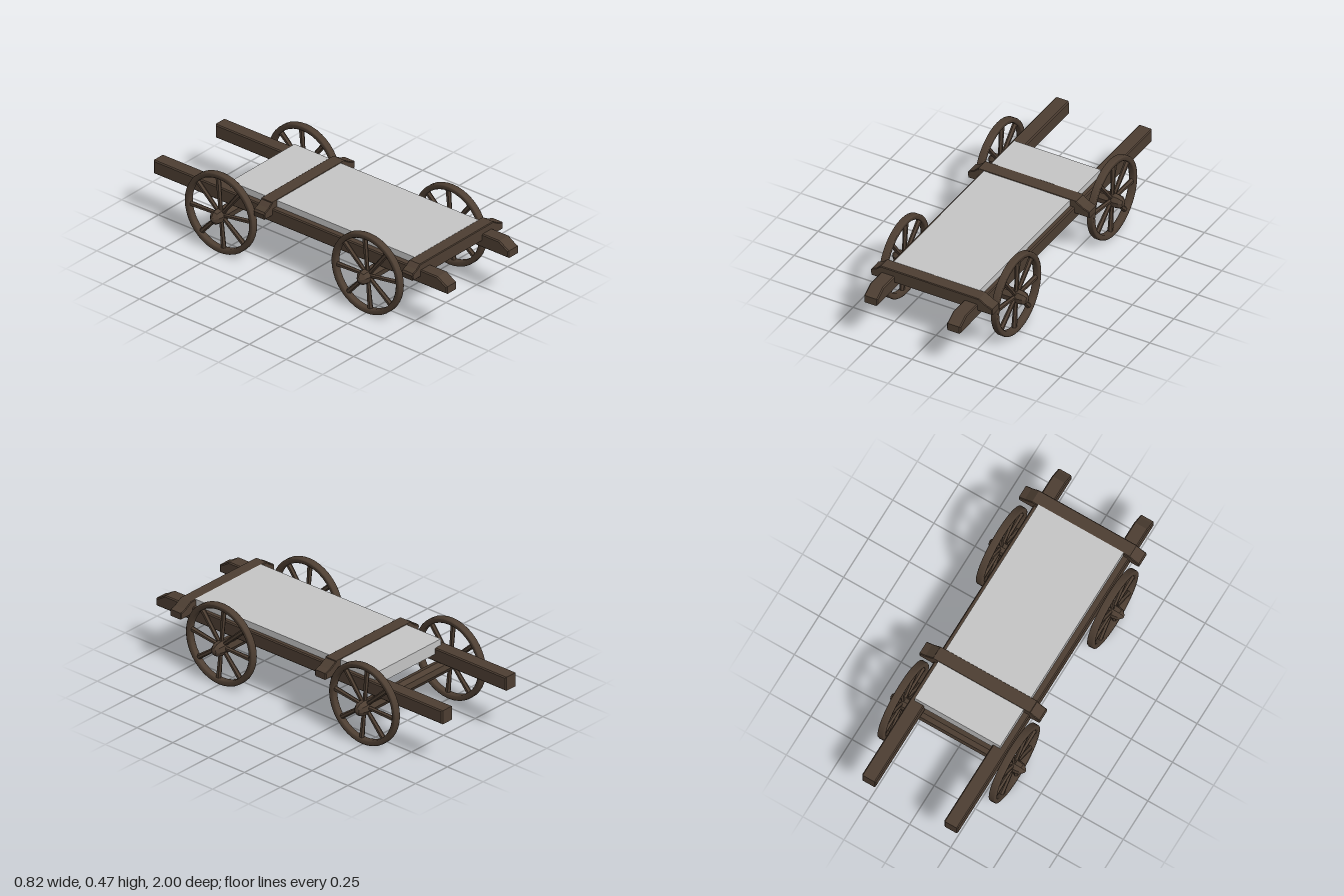
import * as THREE from 'three';
import { RoundedBoxGeometry } from 'three/addons/geometries/RoundedBoxGeometry.js';

const wood = new THREE.MeshStandardMaterial({ color: 0x4d3e32 });
wood.name = 'dark wood';
const canvas = new THREE.MeshStandardMaterial({ color: 0xc6c6c6 });
canvas.name = 'pale grey bed';

function add(parent, name, geometry, material, x = 0, y = 0, z = 0) {
  const mesh = new THREE.Mesh(geometry, material);
  mesh.name = name;
  mesh.position.set(x, y, z);
  parent.add(mesh);
  return mesh;
}

function faceted(geometry) {
  const g = geometry.toNonIndexed();
  g.computeVertexNormals();
  return g;
}

// Extrudes an outline to a total depth, centred, with softened edges
function plank(points, depth, bevel = 0.006) {
  const shape = new THREE.Shape(points.map(([x, y]) => new THREE.Vector2(x, y)));
  const g = new THREE.ExtrudeGeometry(shape, {
    depth: depth - 2 * bevel, bevelThickness: bevel, bevelSize: bevel,
    bevelOffset: -bevel, bevelSegments: 1,
  });
  return g.translate(0, 0, -depth / 2 + bevel);
}

const HUB_Y = 0.216, RIM_Y = 0.2335, RIM_R = 0.2335;

function createWheel(name) {
  const wheel = new THREE.Group();
  wheel.name = name;

  // Rim: a ring with rounded edges
  const a = 0.203, b = RIM_R, w = 0.02, c = 0.007;
  const profile = [
    [b - c, -w], [b - 0.002, -w + 0.002], [b, -w + c], [b, w - c], [b - 0.002, w - 0.002], [b - c, w],
    [a + c, w], [a, w - c], [a, -w + c], [a + c, -w], [b - c, -w],
  ].map(([r, y]) => new THREE.Vector2(r, y));
  add(wheel, 'rim', new THREE.LatheGeometry(profile, 40).rotateZ(Math.PI / 2), wood, 0, RIM_Y, 0);

  // Spokes run from the hub to evenly spaced points on the rim
  const hub = new THREE.Vector3(0, HUB_Y + 0.004, 0);
  for (let i = 0; i < 8; i++) {
    const t = i * Math.PI / 4 + 0.09;
    const end = new THREE.Vector3(0, RIM_Y + 0.21 * Math.cos(t), -0.21 * Math.sin(t));
    const dir = end.clone().sub(hub);
    const spoke = add(wheel, 'spoke', faceted(new THREE.CylinderGeometry(0.015, 0.011, dir.length(), 6)), wood);
    spoke.position.copy(hub).addScaledVector(dir, 0.5);
    spoke.quaternion.setFromUnitVectors(new THREE.Vector3(0, 1, 0), dir.normalize());
  }
  return wheel;
}

export function createModel() {
  const cart = new THREE.Group();
  cart.name = 'cart';

  // Long side rails with a sloping front tip
  const railOutline = [[-1, 0.265], [1, 0.265], [1, 0.308], [0.985, 0.314], [0.935, 0.345], [-1, 0.345]];
  for (const s of [-1, 1]) {
    const rail = plank(railOutline, 0.082).rotateY(-Math.PI / 2);
    add(cart, s > 0 ? 'leftRail' : 'rightRail', rail, wood, s * 0.25, 0, 0);
  }

  // Cross beams with lowered ends
  const beamOutline = [
    [-0.35, 0.305], [0.38, 0.305], [0.38, 0.343], [0.345, 0.354], [0.3, 0.381],
    [-0.293, 0.381], [-0.318, 0.36], [-0.348, 0.347], [-0.355, 0.335],
  ];
  for (const [name, z] of [['frontCrossBeam', 0.782], ['rearCrossBeam', -0.228]]) {
    add(cart, name, plank(beamOutline, 0.077, 0.004), wood, 0, 0, z);
  }
  // Strap face that stays proud of the bed
  add(cart, 'rearBeamCap', new RoundedBoxGeometry(0.59, 0.02, 0.077, 1, 0.004), wood, 0.003, 0.376, -0.228);

  // Flat bed
  add(cart, 'bed', new THREE.BoxGeometry(0.52, 0.073, 1.255), canvas, 0.005, 0.3455, 0.1225);

  // Axles with pointed ends, and their wheels
  const axleProfile = [
    [0, -0.41], [0.02, -0.405], [0.036, -0.388], [0.042, -0.362],
    [0.042, 0.362], [0.037, 0.385], [0.014, 0.405], [0, 0.41],
  ].map(([r, y]) => new THREE.Vector2(r, y));
  for (const [end, z] of [['front', 0.5], ['rear', -0.5]]) {
    const axle = new THREE.LatheGeometry(axleProfile, 8).rotateY(0.2).rotateZ(Math.PI / 2).scale(1, 1, 0.85);
    add(cart, end + 'Axle', faceted(axle), wood, 0, HUB_Y, z - 0.005);
    for (const s of [-1, 1]) {
      const wheel = createWheel(end + (s > 0 ? 'Left' : 'Right') + 'Wheel');
      wheel.position.set(s * 0.338, 0, z);
      cart.add(wheel);
    }
  }
  return cart;
}
